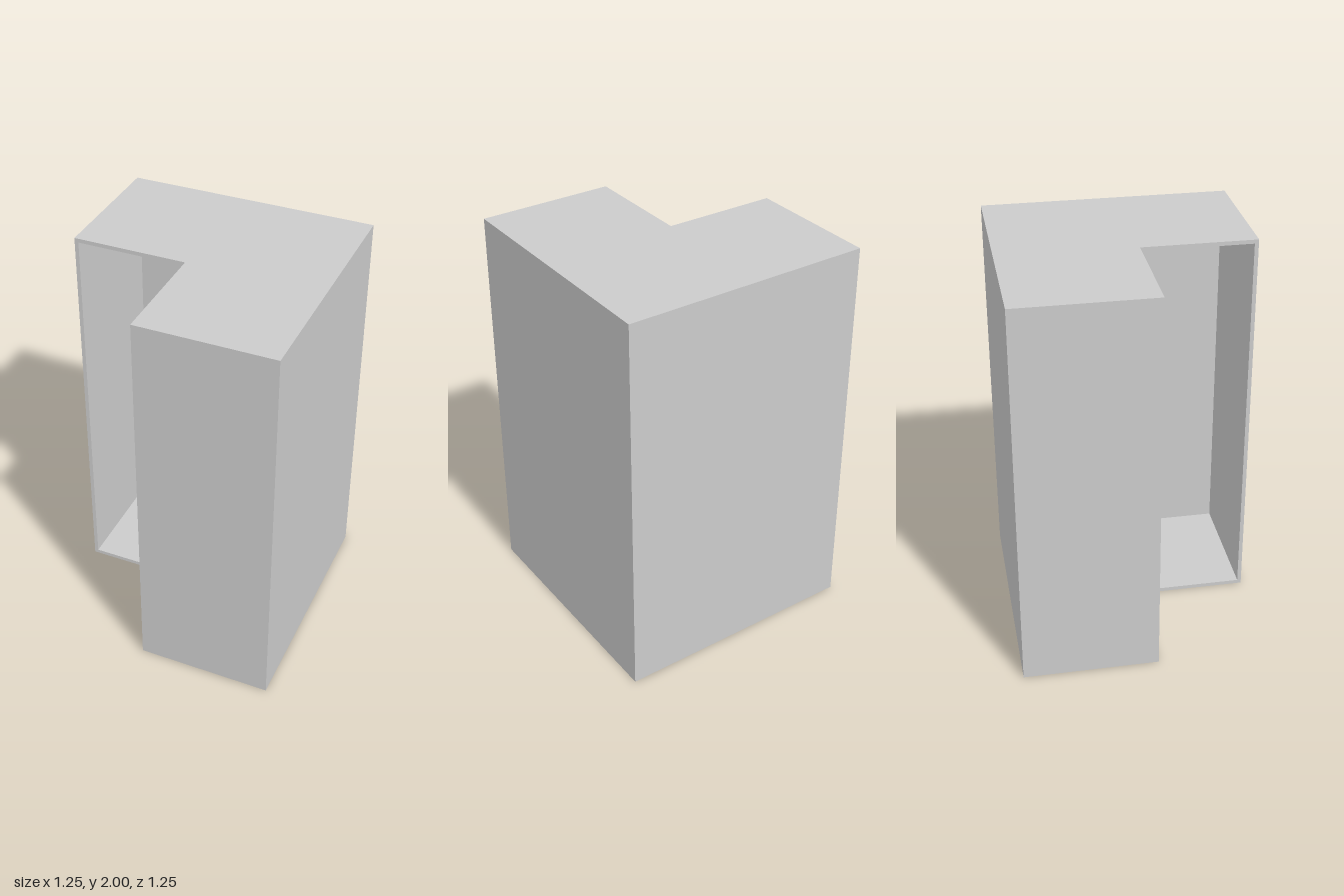
import * as THREE from 'three';

// L-shaped hollow corner cabinet, open along both faces of its inner corner
const H = 2, R = 0.627, C = 0.056, T = 0.02;

export function createModel() {
  const group = new THREE.Group();
  group.name = 'cornerCabinet';
  const material = new THREE.MeshStandardMaterial({ color: 0xcccccc, flatShading: true });

  const add = (name, geometry) => {
    const mesh = new THREE.Mesh(geometry, material);
    mesh.name = name;
    group.add(mesh);
    return mesh;
  };

  // Top and bottom boards share one L outline (shape y is -z)
  const outline = new THREE.Shape(
    [[-R, R], [-R, -C], [-C, -C], [-C, -R], [R, -R], [R, R]].map(([x, y]) => new THREE.Vector2(x, y))
  );
  const board = new THREE.ExtrudeGeometry(outline, { depth: T, bevelEnabled: false });
  board.rotateX(-Math.PI / 2);
  add('bottomBoard', board);
  add('topBoard', board).position.y = H - T;

  // Upright panels between the boards, given by their extents in x and z
  const panel = (name, x0, x1, z0, z1) => {
    const mesh = add(name, new THREE.BoxGeometry(x1 - x0, H - 2 * T, z1 - z0));
    mesh.position.set((x0 + x1) / 2, H / 2, (z0 + z1) / 2);
  };
  panel('backPanel', -R + T, R - T, -R, -R + T);
  panel('leftPanel', R - T, R, -R, R);
  panel('rightEndPanel', -R, -R + T, -R, C);
  panel('frontEndPanel', -C, R - T, R - T, R);

  return group;
}
